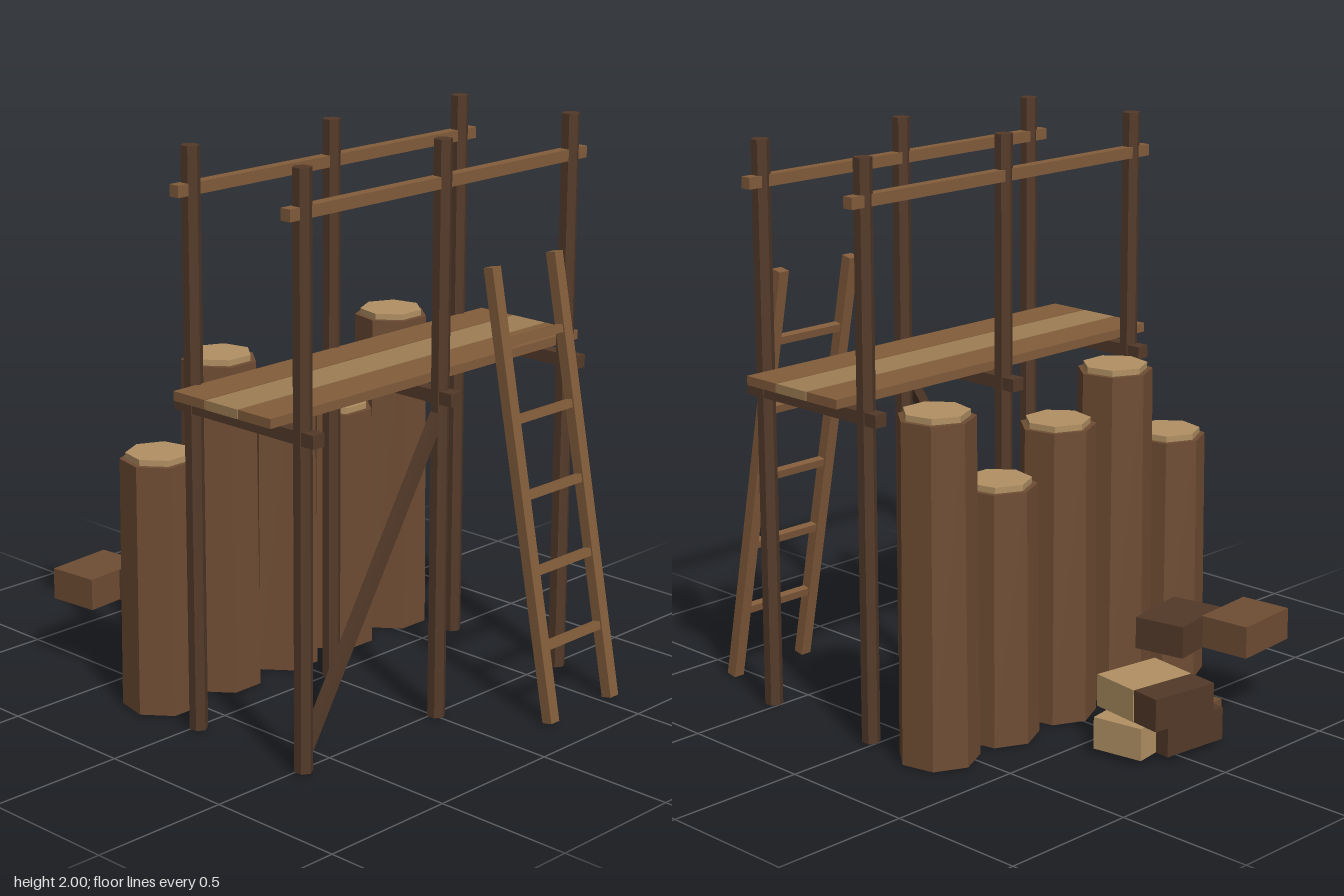
import * as THREE from 'three';

const mat = (color) => new THREE.MeshStandardMaterial({ color, flatShading: true });

export function createModel() {
  const model = new THREE.Group();
  const dark = mat(0x543a29), bark = mat(0x6f4d34), plankWood = mat(0x835d3b);
  const paleWood = mat(0x9f7f55), cutWood = mat(0xb39264);

  function add(name, geometry, material, x, y, z) {
    const mesh = new THREE.Mesh(geometry, material);
    mesh.name = name;
    mesh.position.set(x, y, z);
    model.add(mesh);
    return mesh;
  }
  const box = (name, material, w, h, d, x, y, z) =>
    add(name, new THREE.BoxGeometry(w, h, d), material, x, y, z);

  // Scaffold posts and top rails, two rows
  const postX = [-0.64, 0, 0.64];
  for (const z of [0.02, 0.52]) {
    for (const x of postX) {
      add('post', new THREE.CylinderGeometry(0.032, 0.032, 1.995, 6), dark, x, 1.0025, z);
    }
    box('topRail', plankWood, 1.42, 0.04, 0.04, 0, 1.86, z - 0.003);
  }

  // Cross bearers and deck
  for (const x of postX) box('bearer', dark, 0.05, 0.045, 0.64, x, 1.142, 0.27);
  [0.115, 0.265, 0.415].forEach((z, i) =>
    box('deckPlank', i === 1 ? paleWood : plankWood, 1.5, 0.032, 0.145, 0, 1.2, z));

  // Diagonal brace on the front row
  const brace = box('brace', dark, 0.036, Math.hypot(0.63, 1.02), 0.036, -0.315, 0.59, 0.52);
  brace.rotation.z = -Math.atan2(0.63, 1.02);

  // Leaning ladder
  const foot = new THREE.Vector2(0.837, 0.004), head = new THREE.Vector2(0.537, 1.54);
  const lean = -Math.atan2(foot.x - head.x, head.y - foot.y);
  for (const x of [0.23, 0.55]) {
    const rail = box('ladderRail', plankWood, 0.042, foot.distanceTo(head), 0.04,
      x, (foot.y + head.y) / 2, (foot.x + head.x) / 2);
    rail.rotation.x = lean;
  }
  for (let i = 0; i < 5; i++) {
    const p = foot.clone().lerp(head, (i + 1) / 6);
    const rung = box('ladderRung', plankWood, 0.3, 0.028, 0.028, 0.39, p.y, p.x);
    rung.rotation.x = lean;
  }

  // Palisade of upright logs with pale cut tops
  [0.89, 1.18, 1.04, 0.89, 1.18].forEach((h, i) => {
    const x = (i - 2) * 0.285;
    const log = add('log', new THREE.CylinderGeometry(0.132, 0.14, h - 0.005, 7), bark,
      x, h / 2 + 0.0025, -0.235);
    const cap = add('logCutTop', new THREE.CylinderGeometry(0.113, 0.113, 0.03, 7), cutWood,
      x, h + 0.006, -0.235);
    log.rotation.y = cap.rotation.y = Math.PI;
  });

  // Loose pile of blocks: [material, x, y, z, turn]
  const blocks = [
    [bark, -0.1, 0.079, -0.7, 0.05],
    [dark, -0.06, 0.077, -0.733, -0.1],
    [cutWood, 0.052, 0.078, -0.66, 0.16],
    [dark, 0.012, 0.192, -0.75, -0.14],
    [cutWood, 0, 0.193, -0.64, -0.14],
    [bark, -0.465, 0.306, -0.69, 0.09],
    [dark, -0.305, 0.306, -0.525, 0.18],
  ];
  blocks.forEach(([m, x, y, z, turn], i) => {
    box('block', m, 0.252 + i * 0.0005, 0.113, 0.187, x, y, z).rotation.y = turn;
  });

  return model;
}
